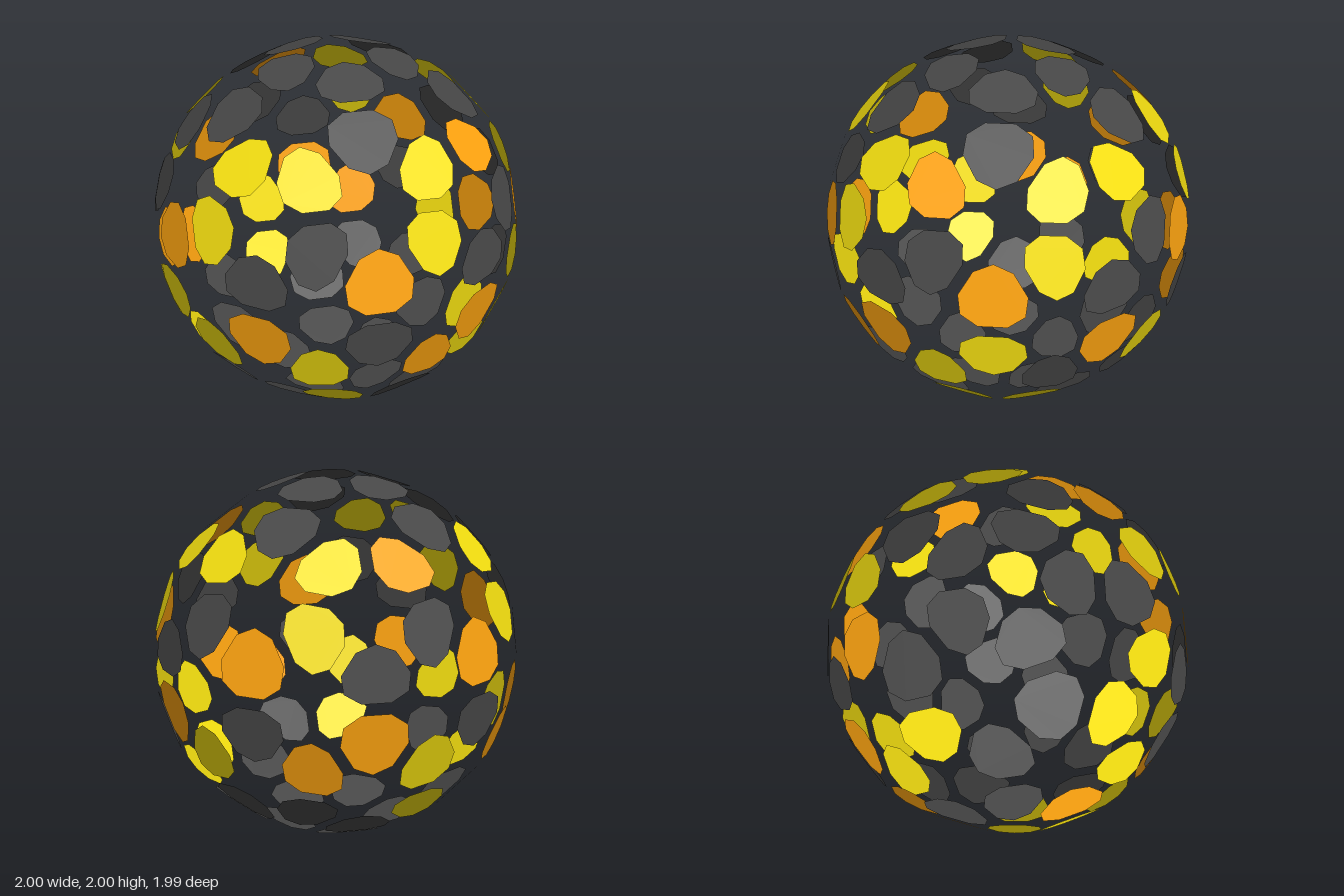
import * as THREE from 'three';

const RADIUS = 1.053;
const COLORS = { D: 0x484848, Y: 0xf5e010, O: 0xffa510 };
const NAMES = { D: 'darkTile', Y: 'yellowTile', O: 'orangeTile' };

// Tile colours per ring, top to bottom, by rising angle from +x towards +z
const RINGS = [
  'DDDDD', 'DDDDD', 'YOYYYDYOYY', 'YDYDYDYDYD', 'DODODODODO',
  'OYODOYODOD', 'DYOYYYOYOY', 'YYDYDYDYDD', 'DDDDD', 'DDDDD',
];
const LIMITS = [0.82, 0.68, 0.45, 0.25, 0, -0.25, -0.45, -0.68, -0.82];

// Icosahedron with a corner at each pole
function icosahedronFaces() {
  const ring = (y, turn) => Array.from({ length: 5 }, (_, i) => {
    const a = (i + turn) * Math.PI * 0.4, r = Math.sqrt(0.8);
    return new THREE.Vector3(r * Math.cos(a), y, r * Math.sin(a));
  });
  const top = new THREE.Vector3(0, 1, 0), bottom = new THREE.Vector3(0, -1, 0);
  const up = ring(Math.sqrt(0.2), 0), low = ring(-Math.sqrt(0.2), 0.5);
  const faces = [];
  for (let i = 0; i < 5; i++) {
    const j = (i + 1) % 5;
    faces.push([top, up[j], up[i]], [up[i], up[j], low[i]],
      [up[j], low[j], low[i]], [bottom, low[i], low[j]]);
  }
  return faces;
}

// Each face splits into three corner triangles and one middle triangle
function split([a, b, c]) {
  const mid = (p, q) => p.clone().add(q).normalize();
  const ab = mid(a, b), bc = mid(b, c), ca = mid(c, a);
  return [[a, ab, ca], [b, bc, ab], [c, ca, bc], [ab, bc, ca]];
}

// Flat rounded triangle: a tip point at each corner and a short straight run on each side
function tileGeometry(tri) {
  const at = (i, u, v, w) => new THREE.Vector3()
    .addScaledVector(tri[i], u * RADIUS)
    .addScaledVector(tri[(i + 1) % 3], v * RADIUS)
    .addScaledVector(tri[(i + 2) % 3], w * RADIUS);
  const outline = [];
  for (let i = 0; i < 3; i++) {
    outline.push(at(i, 0.663, 0.1685, 0.1685), at(i, 0.585, 0.358, 0.057), at(i, 0.358, 0.585, 0.057));
  }
  const geometry = new THREE.BufferGeometry().setFromPoints(outline);
  const index = [];
  for (let k = 1; k < outline.length - 1; k++) index.push(0, k, k + 1);
  geometry.setIndex(index);
  geometry.computeVertexNormals();
  return geometry;
}

export function createModel() {
  const model = new THREE.Group();
  model.name = 'tiledSphere';
  const materials = {};
  for (const key in COLORS) {
    materials[key] = new THREE.MeshStandardMaterial({ color: COLORS[key], side: THREE.DoubleSide, flatShading: true });
  }

  // Sort the triangles into rings by height
  const rings = RINGS.map(() => []);
  for (const tri of icosahedronFaces().flatMap(split)) {
    const c = tri[0].clone().add(tri[1]).add(tri[2]).divideScalar(3);
    const ring = LIMITS.filter((limit) => c.y < limit).length;
    const angle = (Math.atan2(c.z, c.x) + 0.01 + Math.PI * 2) % (Math.PI * 2);
    // Outward facing order
    const normal = tri[1].clone().sub(tri[0]).cross(tri[2].clone().sub(tri[0]));
    if (normal.dot(c) < 0) tri.reverse();
    rings[ring].push({ tri, angle });
  }

  rings.forEach((tiles, r) => {
    const group = new THREE.Group();
    group.name = `tileRing${r + 1}`;
    tiles.sort((a, b) => a.angle - b.angle).forEach(({ tri }, i) => {
      const key = RINGS[r][i];
      const mesh = new THREE.Mesh(tileGeometry(tri), materials[key]);
      mesh.name = NAMES[key];
      group.add(mesh);
    });
    group.position.y = 1;
    model.add(group);
  });
  return model;
}
